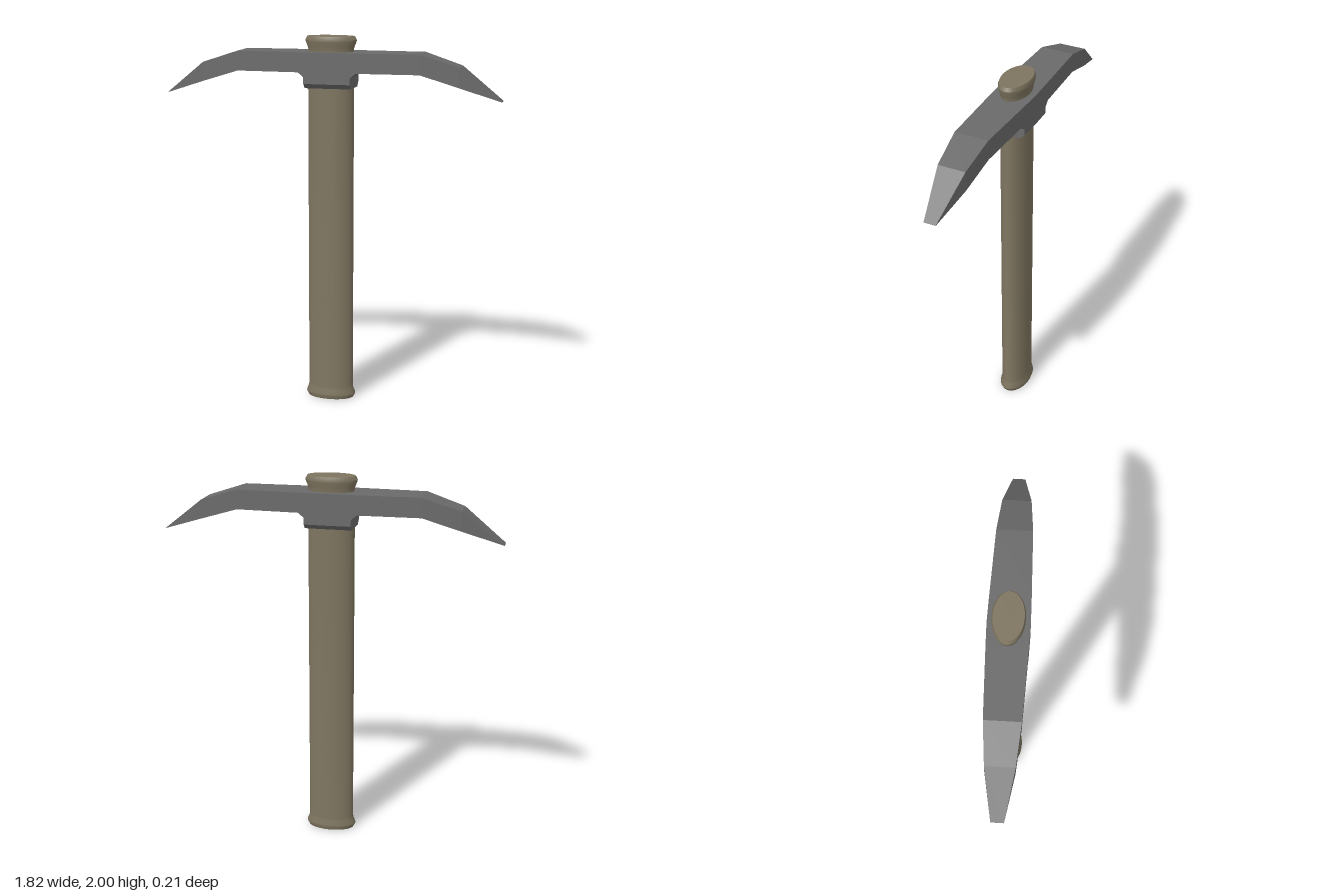
import * as THREE from 'three';
import { toCreasedNormals } from 'three/addons/utils/BufferGeometryUtils.js';

// Half of the head, from the middle outwards: x, top, low edge of the side, bottom, half depth, half depth of bottom
const HALF = [
  [0, 1.92, 1.755, 1.73, 0.105, 0.078],
  [0.125, 1.92, 1.755, 1.73, 0.102, 0.076],
  [0.125, 1.92, 1.79, 1.79, 0.102, 0.102],
  [0.155, 1.92, 1.815, 1.815, 0.101, 0.101],
  [0.49, 1.92, 1.815, 1.815, 0.09, 0.09],
  [0.69, 1.855, 1.753, 1.753, 0.073, 0.073],
  [0.91, 1.683, 1.681, 1.681, 0.032, 0.032],
];

// Skin a row of six-sided cross-sections, skipping faces without area
function loftHead() {
  const mirrored = HALF.slice(1).reverse().map(([x, ...rest]) => [-x, ...rest]);
  const rings = [...mirrored, ...HALF].map(([x, top, low, bottom, d, db]) => [
    [top, d], [low, d], [bottom, db], [bottom, -db], [low, -d], [top, -d],
  ].map(([y, z]) => new THREE.Vector3(x, y, z)));

  const positions = [];
  const triangle = (a, b, c) => {
    if (new THREE.Triangle(a, b, c).getArea() < 1e-7) return;
    for (const p of [a, b, c]) positions.push(p.x, p.y, p.z);
  };
  const quad = (a, b, c, d) => { triangle(a, b, c); triangle(a, c, d); };

  for (let i = 0; i < rings.length - 1; i++) {
    const r = rings[i], s = rings[i + 1];
    for (let k = 0; k < 6; k++) {
      const n = (k + 1) % 6;
      quad(r[n], s[n], s[k], r[k]);
    }
  }
  // Narrow end faces at the two tips
  const first = rings[0], last = rings[rings.length - 1];
  quad(first[0], first[5], first[4], first[1]);
  quad(last[0], last[1], last[4], last[5]);

  const geometry = new THREE.BufferGeometry();
  geometry.setAttribute('position', new THREE.Float32BufferAttribute(positions, 3));
  geometry.computeVertexNormals();
  return geometry;
}

// Oval shaft with a flared, bevelled knob at each end
function ovalHandle() {
  const profile = [
    [0, 0], [0.127, 0], [0.138, 0.02], [0.137, 0.028], [0.127, 0.052], [0.124, 0.07],
    [0.124, 1.85], [0.12, 1.92], [0.126, 1.945], [0.137, 1.972], [0.138, 1.982], [0.128, 2], [0, 2],
  ].map(([r, y]) => new THREE.Vector2(r, y));
  const geometry = new THREE.LatheGeometry(profile, 40);
  geometry.scale(1, 1, 0.59);
  return toCreasedNormals(geometry, Math.PI / 6);
}

export function createModel() {
  const model = new THREE.Group();
  model.name = 'pickaxe';

  const handle = new THREE.Mesh(ovalHandle(), new THREE.MeshStandardMaterial({ color: 0x7d745f }));
  handle.name = 'handle';

  const head = new THREE.Mesh(loftHead(), new THREE.MeshStandardMaterial({ color: 0x6a6a6a, flatShading: true }));
  head.name = 'pickHead';

  model.add(handle, head);
  return model;
}
